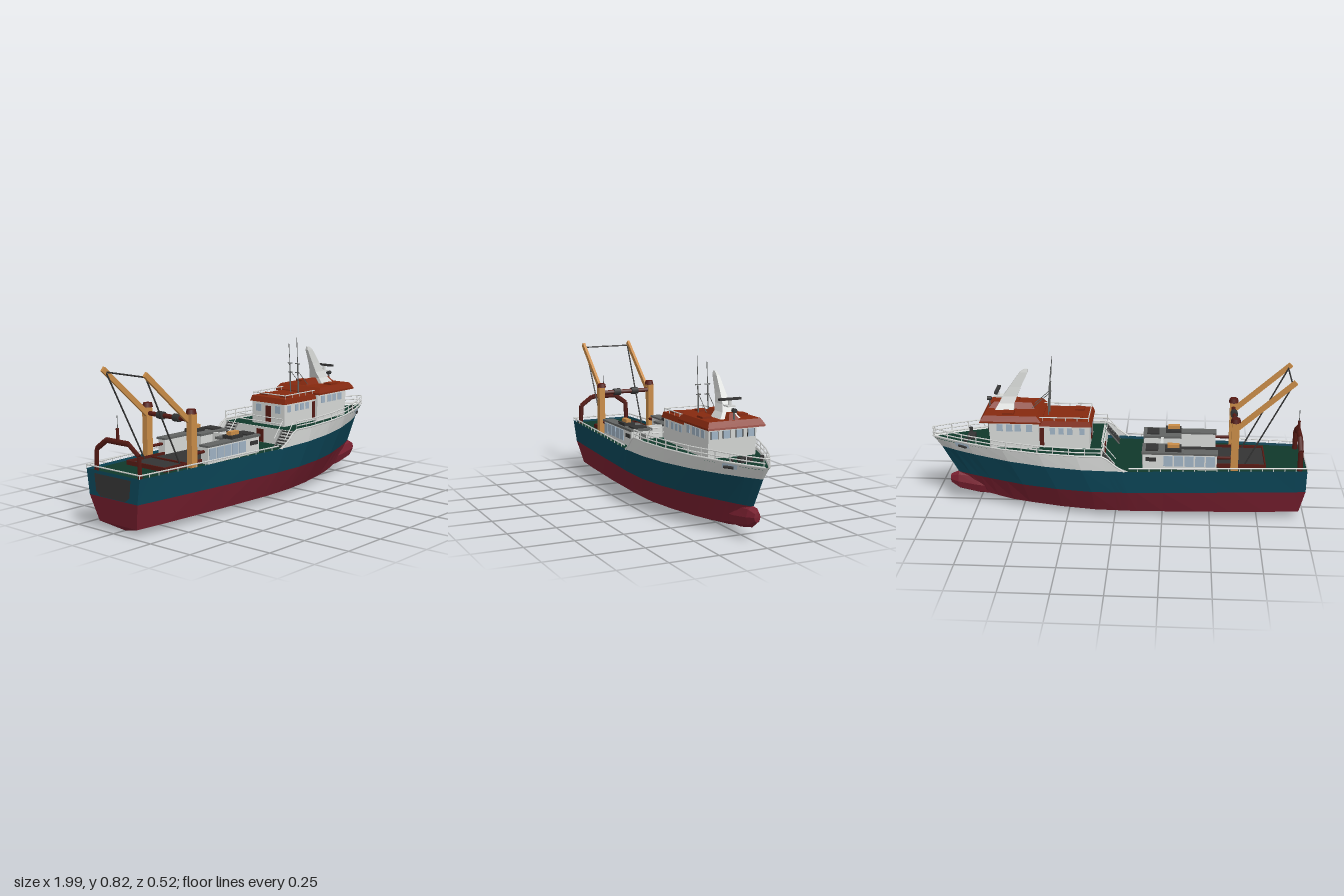
import * as THREE from 'three';

const mat = (name, color) => {
  const m = new THREE.MeshStandardMaterial({ color, side: THREE.DoubleSide });
  m.name = name;
  return m;
};
const M = {
  red: mat('bottom red', 0x7a2030), teal: mat('hull teal', 0x0c4658), white: mat('white paint', 0xd6d8d6),
  green: mat('deck green', 0x10382a), roof: mat('roof rust', 0x86290f), dark: mat('dark grey', 0x343434),
  tan: mat('derrick tan', 0xc98c48), glass: mat('window blue', 0x9fb3c4), brown: mat('gantry brown', 0x561a14),
  grey: mat('mid grey', 0x626463),
};

// Hull levels: x at stern and bow, half widths at the stations U
const U = [0, .1, .3, .5, .6, .7, .8, .9, .96, 1];
const LEVELS = [
  { a: -.925, b: .80, w: [0, 0, 0, 0, 0, 0, 0, 0, 0, 0] },
  { a: -.97, b: .82, w: [.13, .145, .165, .175, .168, .14, .095, .05, .024, .006] },
  { a: -.997, b: .86, w: [.165, .18, .207, .23, .23, .205, .158, .088, .042, .006] },
  { a: -.997, b: .945, w: [.183, .196, .221, .248, .25, .225, .178, .104, .05, .006] },
  { a: -.997, b: .99, w: [.185, .198, .222, .25, .253, .23, .184, .11, .055, .012] },
];
const STATIONS = [0, .03, .1, .2, .3, .4, .475, .5, .52, .535, .6, .65, .7, .75, .8, .85, .9, .93, .96, .985, 1];

function interp(xs, ys, x) {
  let i = 0;
  while (i < xs.length - 2 && x > xs[i + 1]) i++;
  return ys[i] + (ys[i + 1] - ys[i]) * Math.min(1, Math.max(0, (x - xs[i]) / (xs[i + 1] - xs[i])));
}
function hullPoint(level, u, side = 1) {
  const L = LEVELS[level], x = L.a + (L.b - L.a) * u;
  const keel = interp([0, .79, .91, 1], [0, 0, .025, .06], u);
  const paint = interp([0, .5, 1], [.29, .292, .312], u);
  const top = interp([0, .475, .5, .52, .535, 1], [.29, .29, .325, .36, .375, .375], u);
  const y = [keel, Math.max(.035, keel + .025), .165, paint, top][level];
  return [x, y, side * interp(U, L.w, u)];
}

// Flat shaded skin across rows of points
function loft(rows, close = false) {
  const p = [];
  for (let i = 0; i < rows.length - 1; i++) {
    const n = rows[i].length;
    for (let j = 0; j < (close ? n : n - 1); j++) {
      const k = (j + 1) % n, a = rows[i][j], b = rows[i][k], c = rows[i + 1][k], d = rows[i + 1][j];
      p.push(...a, ...b, ...c, ...a, ...c, ...d);
    }
  }
  const g = new THREE.BufferGeometry();
  g.setAttribute('position', new THREE.Float32BufferAttribute(p, 3));
  g.computeVertexNormals();
  return g;
}

export function createModel() {
  const model = new THREE.Group();
  model.name = 'trawler';
  const add = (name, geo, m) => {
    const mesh = new THREE.Mesh(geo, m);
    mesh.name = name;
    model.add(mesh);
    return mesh;
  };
  const box = (name, m, x0, x1, y0, y1, z0, z1) =>
    add(name, new THREE.BoxGeometry(x1 - x0, y1 - y0, Math.abs(z1 - z0)), m)
      .position.set((x0 + x1) / 2, (y0 + y1) / 2, (z0 + z1) / 2);
  const bar = (name, m, a, b, r, sides = 6) => {
    const A = new THREE.Vector3(...a), B = new THREE.Vector3(...b), d = B.clone().sub(A);
    const mesh = add(name, new THREE.CylinderGeometry(r, r, d.length(), sides), m);
    mesh.position.copy(A).add(B).multiplyScalar(.5);
    mesh.quaternion.setFromUnitVectors(new THREE.Vector3(0, 1, 0), d.normalize());
  };
  const path = (name, m, pts, r) => pts.slice(1).forEach((p, i) => bar(name, m, pts[i], p, r, 5));
  // Rectangular ring at height y for tapered blocks
  const ring = (y, x0, x1, z) => [[x0, y, z], [x1, y, z], [x1, y, -z], [x0, y, -z]];
  const block = (name, m, rings) => {
    const cap = r => r.map(() => [(r[0][0] + r[1][0]) / 2, r[0][1], 0]);
    add(name, loft([cap(rings[0]), ...rings, cap(rings.at(-1))], true), m);
  };

  // Hull sides and transom
  const skin = [['bottom', M.red, 0], ['bottom', M.red, 1], ['topside', M.teal, 2], ['forecastleSide', M.white, 3]];
  for (const [name, m, l] of skin) {
    const us = l === 3 ? STATIONS.filter(u => u >= .475) : STATIONS;
    for (const s of [1, -1]) add(name, loft(us.map(u => [hullPoint(l, u, s), hullPoint(l + 1, u, s)])), m);
    if (l < 3) add('transom', loft([l, l + 1].map(k => [hullPoint(k, 0, 1), hullPoint(k, 0, -1)])), m);
    add('stem', loft([l, l + 1].map(k => [hullPoint(k, 1, 1), hullPoint(k, 1, -1)])), m);
  }
  add('sternRamp', loft([[[-1, .275, .125], [-1, .275, -.125]], [[-1, .19, .115], [-1, .19, -.115]],
    [[-1, .168, .085], [-1, .168, -.085]]]), M.dark);

  // Bulbous bow
  const bulb = [[.5, .09, .06, .05], [.75, .102, .062, .045], [.86, .116, .052, .035], [.905, .122, .025, .017], [.907, .122, 0, 0]];
  add('bulb', loft(bulb.map(([x, cy, ry, rz]) => Array.from({ length: 8 }, (_, i) => {
    const a = i * Math.PI / 4;
    return [x, cy + ry * Math.cos(a), rz * Math.sin(a)];
  })), true), M.red);

  // Decks and the break between them
  const deck = (name, y, l, us) => add(name, loft(us.map(u => [1, -1].map(s => {
    const p = hullPoint(l, u, s);
    return [p[0] - (u === 1 ? .01 : 0), y, p[2] * .98];
  }))), M.green);
  deck('aftDeck', .278, 3, STATIONS.filter(u => u <= .6));
  deck('foreDeck', .362, 4, STATIONS.filter(u => u >= .535));
  box('breakWall', M.white, .064, .07, .278, .362, -.245, .245);
  box('breakDoor', M.brown, .06, .064, .28, .35, -.02, .025);
  for (const s of [1, -1]) {
    for (let i = 0; i < 6; i++) box('stairStep', M.dark, i * .012 - .005, i * .012 + .008, .285 + i * .014, .29 + i * .014, s * .16, s * .225);
    for (const z of [.157, .228]) {
      bar('stairStringer', M.grey, [-.005, .28, s * z], [.065, .365, s * z], .004);
      bar('stairHandrail', M.white, [-.005, .325, s * z], [.065, .41, s * z], .0025);
    }
  }

  // Gunwale and guard rails
  const lift = (p, dy) => [p[0], p[1] + dy, p[2]];
  for (const s of [1, -1]) {
    const aft = STATIONS.filter(u => u <= .475).map(u => hullPoint(3, u, s));
    const fore = STATIONS.filter(u => u >= .535).map(u => hullPoint(4, u, s));
    path('aftRail', M.white, aft.map(p => lift(p, .017)), .004);
    path('gunwale', M.white, STATIONS.filter(u => u >= .475).map(u => hullPoint(4, u, s)), .005);
    for (let u = 0; u < .48; u += .03) { const p = hullPoint(3, u, s); bar('aftRailPost', M.white, p, lift(p, .017), .0025, 4); }
    for (const dy of [.02, .042]) path('foreRail', M.white, fore.map(p => lift(p, dy)), .0035);
    for (let u = .535; u < 1; u += .042) { const p = hullPoint(4, u, s); bar('foreRailPost', M.white, p, lift(p, .042), .003, 4); }
  }
  path('sternRail', M.white, [[-.995, .307, -.183], [-.995, .307, .183]], .004);
  for (const y of [.39, .417]) bar('breakRail', M.white, [.07, y, -.15], [.07, y, .15], .003);
  bar('bowRail', M.white, [.99, .417, -.012], [.99, .417, .012], .0035);

  // Aft cabin and bridge
  box('cabin', M.white, .135, .42, .36, .485, -.112, .112);
  block('bridge', M.white, [ring(.36, .4, .655, .13), ring(.515, .4, .665, .13)]);
  block('cabinRoof', M.roof, [ring(.483, .125, .45, .122), ring(.512, .135, .45, .115)]);
  block('bridgeRoof', M.roof, [ring(.508, .385, .708, .155), ring(.517, .385, .705, .155), ring(.545, .41, .685, .14)]);
  block('roofRidge', M.roof, [ring(.544, .43, .68, .032), ring(.575, .45, .65, .012)]);
  for (const s of [1, -1]) {
    for (const x of [.175, .24, .285, .33]) box('cabinWindow', M.glass, x - .014, x + .014, .437, .473, s * .11, s * .115);
    box('cabinDoor', M.brown, .375, .398, .375, .47, s * .11, s * .116);
    for (const x of [.45, .51, .555, .605]) box('bridgeWindow', M.glass, x - .016, x + .016, .456, .495, s * .128, s * .133);
    for (const z of [.035, .1]) {
      box('frontWindow', M.glass, .658, .667, .457, .495, s * (z - .017), s * (z + .017));
      for (const e of [-.019, .019]) box('windowFrame', M.dark, .658, .668, .457, .495, s * (z + e - .001), s * (z + e + .001));
    }
    box('aftWindow', M.glass, .131, .136, .43, .47, s * .05, s * .085);
    box('cabinHatch', M.roof, .175, .225, .51, .522, s * .045, s * .095);
    box('bridgeHatch', M.roof, .53, .59, .543, .555, s * .075, s * .125);
    bar('roofRail', M.white, [.14, .53, s * .112], [.42, .53, s * .112], .003);
    for (let x = .14; x < .4; x += .06) bar('roofRailPost', M.white, [x, .51, s * .112], [x, .53, s * .112], .002, 4);
  }
  bar('roofRail', M.white, [.14, .53, -.112], [.14, .53, .112], .003);
  box('aftDoor', M.brown, .131, .136, .375, .465, -.018, .018);

  // Swept mast, radar and searchlight
  block('mast', M.white, [ring(.543, .54, .64, .056), ring(.575, .54, .62, .034), ring(.61, .525, .6, .022), ring(.66, .505, .565, .015), ring(.74, .467, .51, .008), ring(.758, .467, .485, .004)]);
  box('radarPlatform', M.white, .56, .65, .603, .61, -.02, .02);
  bar('radarPedestal', M.white, [.63, .605, 0], [.63, .635, 0], .009, 8);
  box('radarScanner', M.dark, .622, .64, .634, .645, -.059, .059);
  bar('searchlightPost', M.grey, [.675, .54, 0], [.675, .585, 0], .005);
  bar('searchlight', M.dark, [.665, .59, 0], [.688, .59, 0], .011, 8);

  // Whip antennas
  for (const [z, top] of [[.028, .82], [-.027, .785]]) {
    bar('antennaBase', M.grey, [.36, .51, z], [.352, .67, z], .004);
    bar('antenna', M.grey, [.352, .67, z], [.342, top, z], .002);
    bar('antennaStay', M.grey, [.352, .635, z], [.45, .545, z], .002, 4);
    bar('antennaArm', M.grey, [.352, .675, z * .4], [.352, .675, z * 1.5], .003);
    bar('antennaArm', M.grey, [.352, .625, z * .4], [.352, .625, z * 1.3], .003);
  }

  // Processing houses beside an open trough
  box('troughFloor', M.dark, -.78, -.24, .278, .287, -.125, .125);
  box('troughFront', M.white, -.25, -.235, .278, .37, -.13, .13);
  for (const s of [1, -1]) {
    box('sideHouse', M.white, -.53, -.235, .278, .362, s * .125, s * .172);
    box('sideHouseTop', M.grey, -.535, -.235, .362, .372, s * .118, s * .178);
    box('cornerHouse', M.white, -.34, -.145, .278, .362, s * .055, s * .172);
    box('cornerHouseTop', M.grey, -.345, -.14, .362, .374, s * .05, s * .178);
    for (let i = 0; i < 5; i++) box('sideWindow', M.glass, -.52 + i * .055, -.473 + i * .055, .298, .355, s * .17, s * .176);
    box('cornerDoor', M.grey, -.146, -.141, .285, .35, s * .09, s * .13);
    box('ventPanel', M.dark, -.215, -.16, .325, .345, s * .17, s * .178);
    box('hatchBase', M.dark, -.345, -.26, .372, .39, s * .1, s * .165);
    box('hatchCover', M.tan, -.335, -.272, .39, .408, s * .12, s * .148);
    box('roofBox', M.dark, -.225, -.16, .372, .382, s * .075, s * .155);
    box('troughCoaming', M.brown, -.78, -.53, .278, .3, s * .125, s * .133);
    bar('feedPipe', M.brown, [-.61, .34, s * .145], [-.53, .34, s * .145], .008);
  }
  box('troughSill', M.brown, -.787, -.78, .278, .3, -.133, .133);
  box('troughSill', M.brown, -.627, -.617, .28, .295, -.125, .125);

  // Derrick posts, booms and stays
  for (const s of [1, -1]) {
    box('derrickPost', M.tan, -.64, -.602, .278, .545, s * .137, s * .17);
    add('postCap', new THREE.CylinderGeometry(.022, .027, .022, 8), M.brown).position.set(-.621, .552, s * .15);
    const boom = add('boom', new THREE.BoxGeometry(.385, .026, .015), M.tan);
    boom.position.set(-.772, .633, s * .144);
    boom.rotation.z = -Math.atan2(.25, .28);
    bar('boomStay', M.dark, [-.9, .74, s * .135], [-.67, .285, s * .125], .004);
    bar('beamPulley', M.dark, [-.621, .51, s * .035], [-.621, .51, s * .075], .02, 8);
  }
  bar('boomTipBar', M.dark, [-.9, .745, -.13], [-.9, .745, .13], .004);
  bar('derrickBeam', M.brown, [-.621, .51, -.14], [-.621, .51, .14], .012);

  // Stern gantry
  const arch = [[.15, .278], [.145, .385], [.075, .435], [-.075, .435], [-.145, .385], [-.15, .278]];
  arch.slice(1).forEach(([z, y], i) => bar('sternGantry', M.brown, [-.962, arch[i][1], arch[i][0]], [-.962, y, z], .014, 4));
  bar('gantryMast', M.brown, [-.96, .43, 0], [-.96, .5, 0], .008);
  bar('gantryAntenna', M.grey, [-.96, .5, 0], [-.96, .56, 0], .002);

  // Foredeck anchor gear
  for (const s of [1, -1]) {
    const a = hullPoint(4, .895, s), b = hullPoint(4, .935, s), o = s * .004;
    const q = (p, y) => [p[0] - (.375 - y) * .3, y, p[2] + o];
    add('anchorRecess', loft([[q(a, .368), q(b, .368)], [q(a, .345), q(b, .345)]]), M.glass);
    bar('anchor', M.dark, [a[0] + .01, .352, a[2] + o], [b[0] - .025, .352, b[2] + s * .012], .007);
    bar('bollard', M.dark, [.8, .362, s * .082], [.8, .39, s * .082], .01, 8);
  }
  box('windlass', M.dark, .76, .8, .362, .385, -.03, .03);
  return model;
}
